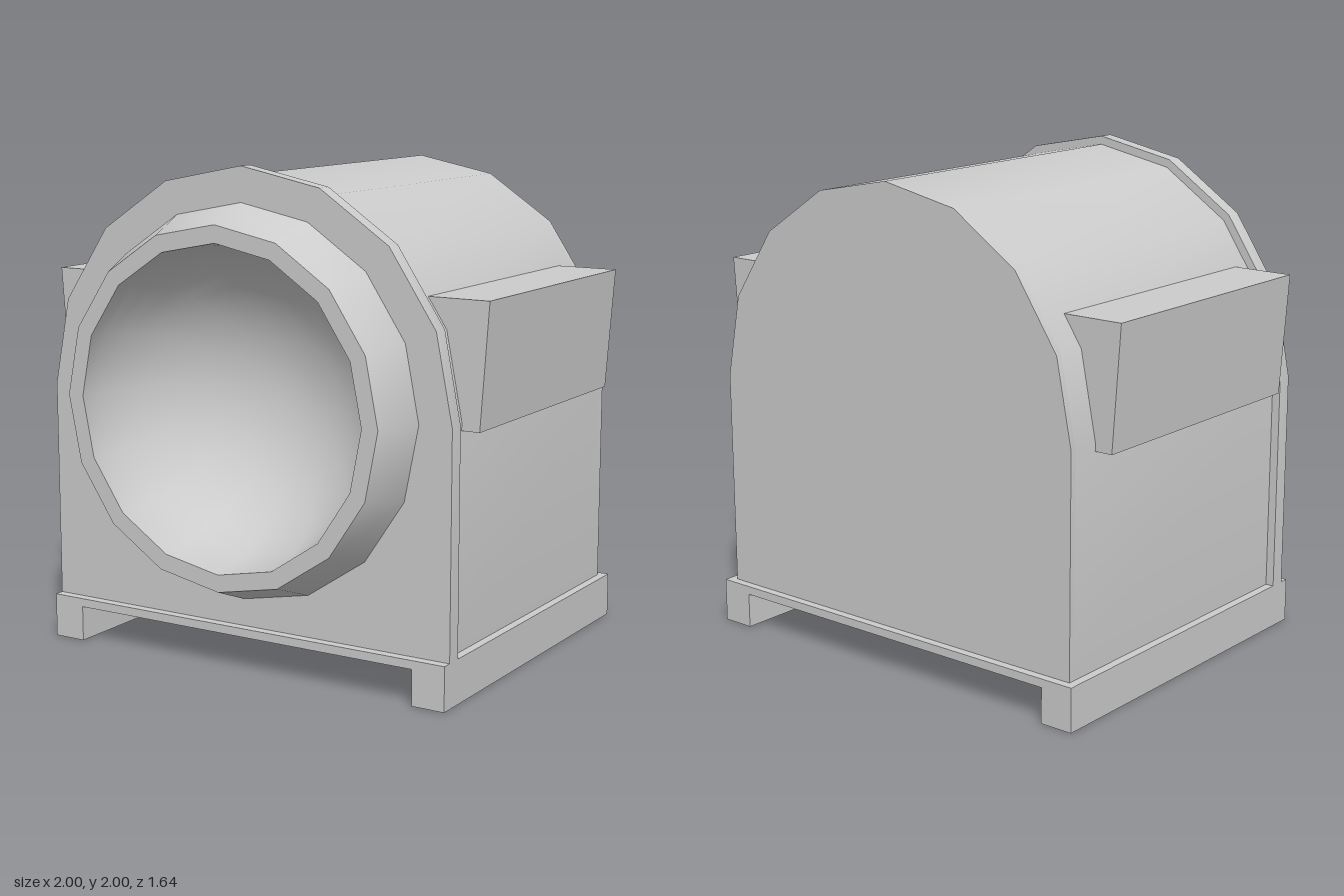
import * as THREE from 'three';
import { toCreasedNormals } from 'three/addons/utils/BufferGeometryUtils.js';

const material = new THREE.MeshStandardMaterial({ color: 0xcccccc });
const SIDES = 16;
const AXIS_Y = 1.075; // height of the barrel axis
const BASE_TOP = 0.18;

function addMesh(group, name, geometry) {
  const mesh = new THREE.Mesh(toCreasedNormals(geometry, 0.6), material);
  mesh.name = name;
  group.add(mesh);
  return mesh;
}

// Extrude an outline in x/y between two depths
function extrude(shape, zBack, zFront) {
  return new THREE.ExtrudeGeometry(shape, { depth: zFront - zBack, bevelEnabled: false }).translate(0, 0, zBack);
}

function polygon(points) {
  return new THREE.Shape(points.map(([x, y]) => new THREE.Vector2(x, y)));
}

function arc(radius, count) {
  return Array.from({ length: count }, (_, i) => {
    const a = (i / SIDES) * Math.PI * 2;
    return [radius * Math.cos(a), AXIS_Y + radius * Math.sin(a)];
  });
}

// Arched outline: straight walls below a faceted half circle
function arch(radius, holeRadius = 0) {
  const shape = polygon([[-radius, BASE_TOP], [radius, BASE_TOP], ...arc(radius, SIDES / 2 + 1)]);
  if (holeRadius) shape.holes.push(polygon(arc(holeRadius, SIDES)));
  return shape;
}

export function createModel() {
  const model = new THREE.Group();
  model.name = 'archedHousing';

  // Base slab with a rail along each side
  addMesh(model, 'base', extrude(polygon([
    [-0.925, 0], [-0.785, 0], [-0.785, 0.145], [0.785, 0.145],
    [0.785, 0], [0.925, 0], [0.925, BASE_TOP], [-0.925, BASE_TOP],
  ]), -0.82, 0.68));

  // Hollow body, closed at the back, with a wider flange in front
  addMesh(model, 'body', extrude(arch(0.89, 0.7), -0.76, 0.58));
  addMesh(model, 'backWall', extrude(arch(0.89), -0.785, -0.76));
  addMesh(model, 'frontFlange', extrude(arch(0.925, 0.7), 0.575, 0.64));

  // Tapered collar that turns into a round bowl
  const profile = [[0.785, 0.64], [0.715, 0.82], [0.645, 0.82]];
  for (let i = 1; i <= 10; i++) {
    const a = (i / 10) * Math.PI / 2;
    profile.push([i === 10 ? 0 : 0.645 * Math.cos(a), 0.82 - 0.6 * Math.sin(a)]);
  }
  const collar = new THREE.LatheGeometry(profile.map(([r, z]) => new THREE.Vector2(r, z)), SIDES);
  addMesh(model, 'collarAndBowl', collar.rotateX(Math.PI / 2).translate(0, AXIS_Y, 0));

  // Tapered boxes on both flanks
  for (const [name, s] of [['leftSideBox', 1], ['rightSideBox', -1]]) {
    const outline = [[0.74, 1.535], [0.87, 1.04], [0.965, 1.04], [1, 1.535]];
    addMesh(model, name, extrude(polygon(outline.map(([x, y]) => [s * x, y])), -0.64, 0.5));
  }

  return model;
}
